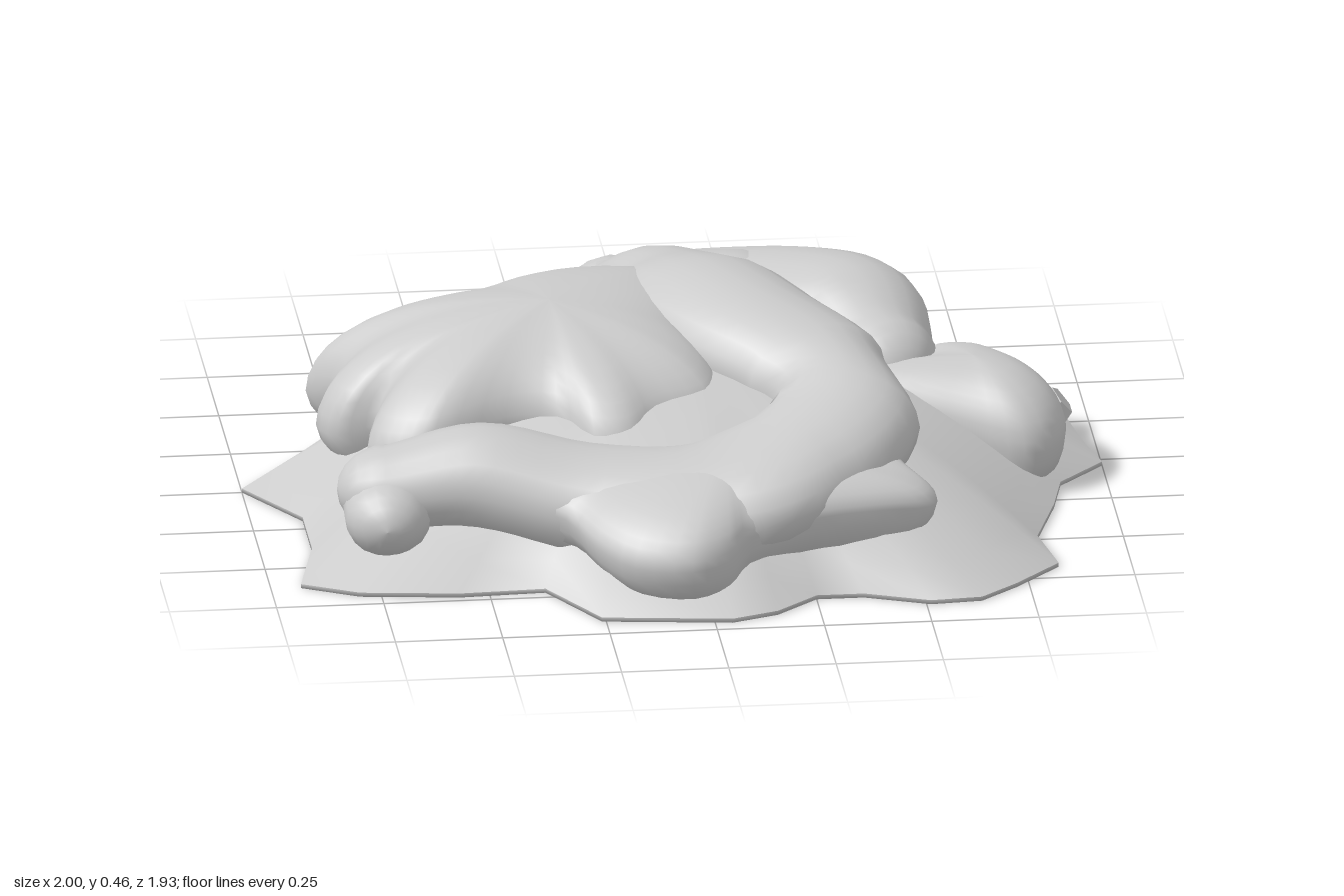
import * as THREE from 'three';

const material = new THREE.MeshStandardMaterial({ color: 0xcccccc });

// Ragged rim of the mound, as x, z pairs
const RIM = [
  [-1, 0], [-.88, .2], [-.88, .4], [-.93, .63], [-.8, .7], [-.57, .73], [-.37, .72], [-.26, .92],
  [.04, .96], [.15, .92], [.25, .83], [.36, .83], [.51, .89], [.63, .88], [.72, .8], [.83, .68],
  [.8, .5], [.86, .3], [.89, .16], [1, .04], [.97, -.1], [.95, -.24], [.83, -.25], [.68, -.4],
  [.65, -.53], [.6, -.66], [.49, -.67], [.4, -.76], [.3, -.83], [.17, -.82], [.07, -.89], [-.02, -.97],
  [-.17, -.96], [-.26, -.79], [-.37, -.73], [-.56, -.72], [-.76, -.59], [-.71, -.37], [-.8, -.25], [-.92, -.1],
];

// Lobes of the topping: spine points as x, top y, z, half width
const LOBES = {
  mainRidge: [[-.72, .28, .48, .11], [-.5, .33, .49, .14], [-.25, .29, .55, .16], [0, .29, .6, .2],
    [.22, .34, .55, .2], [.36, .39, .38, .18], [.32, .43, .18, .18], [.18, .46, -.02, .2],
    [.09, .455, -.22, .21], [.05, .4, -.42, .17], [0, .35, -.58, .14], [-.05, .26, -.74, .13]],
  frontLeftDrip: [[-.71, .28, .47, .11], [-.72, .23, .56, .1]],
  backDrip: [[-.02, .29, -.68, .12], [-.2, .2, -.63, .06]],
  backRightLobe: [[-.05, .26, -.74, .13], [.15, .33, -.58, .18], [.32, .39, -.4, .21],
    [.45, .41, -.24, .18], [.5, .35, -.09, .13]],
  backBridge: [[.06, .36, -.5, .15], [.2, .37, -.45, .17]],
};

// Broad pads of the topping: middle, and outline as x, edge y, z
const PADS = {
  leftPad: {
    middle: [-.28, .435, -.04],
    outline: [[-.83, .17, -.2], [-.77, .2, -.1], [-.83, .17, .02], [-.79, .17, .1], [-.7, .2, .12],
      [-.74, .18, .28], [-.68, .19, .35], [-.6, .21, .37], [-.42, .25, .3], [-.3, .25, .31],
      [-.22, .21, .41], [-.13, .21, .42], [-.06, .24, .34], [.07, .25, .28], [.1, .26, .2],
      [.08, .3, .1], [.05, .33, 0], [.08, .34, -.2], [.06, .32, -.4], [-.15, .3, -.46],
      [-.33, .28, -.42], [-.48, .23, -.36], [-.64, .2, -.33], [-.78, .17, -.27]],
  },
  frontPad: {
    middle: [.06, .28, .6],
    outline: [[-.42, .2, .52], [-.42, .19, .64], [-.32, .17, .7], [-.26, .14, .81], [-.18, .12, .9],
      [-.05, .12, .94], [.04, .13, .9], [.1, .16, .83], [.27, .18, .77], [.42, .18, .74], [.53, .17, .7],
      [.55, .17, .64], [.49, .22, .58], [.42, .25, .48], [.2, .22, .45], [0, .2, .46], [-.2, .2, .46]],
  },
  rightPad: {
    middle: [.7, .28, .02],
    outline: [[.4, .24, .03], [.5, .19, .1], [.68, .13, .18], [.8, .11, .23], [.87, .11, .2],
      [.91, .12, .1], [.88, .14, -.02], [.8, .16, -.13], [.72, .17, -.2], [.62, .2, -.18], [.57, .22, -.05]],
  },
};

// Surface through rows of points, closed around each row
function surface(rows) {
  const n = rows[0].length, index = [];
  for (let i = 0; i < rows.length - 1; i++) {
    for (let j = 0; j < n; j++) {
      const a = i * n + j, b = i * n + (j + 1) % n;
      index.push(a, b, a + n, b, b + n, a + n);
    }
  }
  const geometry = new THREE.BufferGeometry().setFromPoints(rows.flat());
  geometry.setIndex(index);
  geometry.computeVertexNormals();
  return geometry;
}

function addMesh(parent, name, geometry) {
  const mesh = new THREE.Mesh(geometry, material);
  mesh.name = name;
  parent.add(mesh);
  return mesh;
}

// Mound: rings shrinking from the ragged rim to a rounded summit
function moundGeometry() {
  const rows = [];
  for (let i = 0; i <= 14; i++) {
    const t = 1 - i / 14;
    rows.push(RIM.map(([x, z]) => {
      const even = THREE.MathUtils.lerp(.85 / Math.hypot(x, z), 1, t * t);
      return new THREE.Vector3(x * t * even, .01 + .32 * (1 - t ** 2.5), z * t * even);
    }));
  }
  return surface(rows);
}

// Underside: a thin edge and a flat floor
function floorGeometry() {
  const ring = (s, y) => RIM.map(([x, z]) => new THREE.Vector3(x * s, y, z * s));
  return surface([ring(0, 0), ring(1, 0), ring(1, .01)]);
}

// Pad: a tucked-under lip, then rings rising from the outline to the middle
function padGeometry({ middle, outline }) {
  const centre = new THREE.Vector3(...middle);
  const curve = new THREE.CatmullRomCurve3(outline.map((p) => new THREE.Vector3(...p)), true);
  const edge = curve.getPoints(outline.length * 3).slice(0, -1);
  const ring = (s, rise, drop) => edge.map((p) => {
    const q = p.clone().lerp(centre, 1 - s);
    q.y = Math.max(.012, THREE.MathUtils.lerp(p.y, centre.y, rise) - drop);
    return q;
  });
  const rows = [ring(.8, 0, .1), ring(.93, 0, .07), ring(.98, 0, .035)];
  for (const s of [1, .99, .96, .92, .86, .78, .68, .55, .4, .2, 0]) rows.push(ring(s, Math.sqrt(1 - s ** 2.1), 0));
  return surface(rows);
}

// Lobe: flattened round sections along a spine, with rounded ends
function lobeGeometry(points) {
  const spine = new THREE.CatmullRomCurve3(points.map(([x, y, z]) => new THREE.Vector3(x, y, z)));
  const size = new THREE.CatmullRomCurve3(points.map((p) => new THREE.Vector3(p[3], 0, 0)));
  const steps = (points.length - 1) * 5, caps = 5, sides = 20, stations = [];
  for (let k = caps; k > 0; k--) stations.push([0, -k / caps]);
  for (let k = 0; k <= steps; k++) stations.push([k / steps, 0]);
  for (let k = 1; k <= caps; k++) stations.push([1, k / caps]);
  const up = new THREE.Vector3(0, 1, 0);
  return surface(stations.map(([t, cap]) => {
    const w = size.getPoint(t).x, h = Math.min(.13, w * .9);
    const along = spine.getTangent(t).setY(0).normalize();
    const side = new THREE.Vector3().crossVectors(up, along);
    const angle = cap * Math.PI / 2, scale = Math.cos(angle);
    const centre = spine.getPoint(t).addScaledVector(along, w * Math.sin(angle));
    centre.y -= h;
    return Array.from({ length: sides }, (_, j) => {
      const a = j / sides * Math.PI * 2;
      const p = centre.clone().addScaledVector(side, w * scale * Math.cos(a));
      p.y = Math.max(.012, p.y + h * scale * Math.sin(a));
      return p;
    });
  }));
}

export function createModel() {
  const model = new THREE.Group();
  model.name = 'mound';
  addMesh(model, 'moundBase', moundGeometry());
  addMesh(model, 'floor', floorGeometry());

  const topping = new THREE.Group();
  topping.name = 'topping';
  for (const [name, points] of Object.entries(LOBES)) addMesh(topping, name, lobeGeometry(points));
  for (const [name, pad] of Object.entries(PADS)) addMesh(topping, name, padGeometry(pad));
  model.add(topping);

  // Small lump near the right rim
  const lump = addMesh(model, 'lump', new THREE.DodecahedronGeometry(.075, 0));
  lump.position.set(.88, .065, -.17);
  lump.scale.set(1, .75, 1);
  return model;
}
